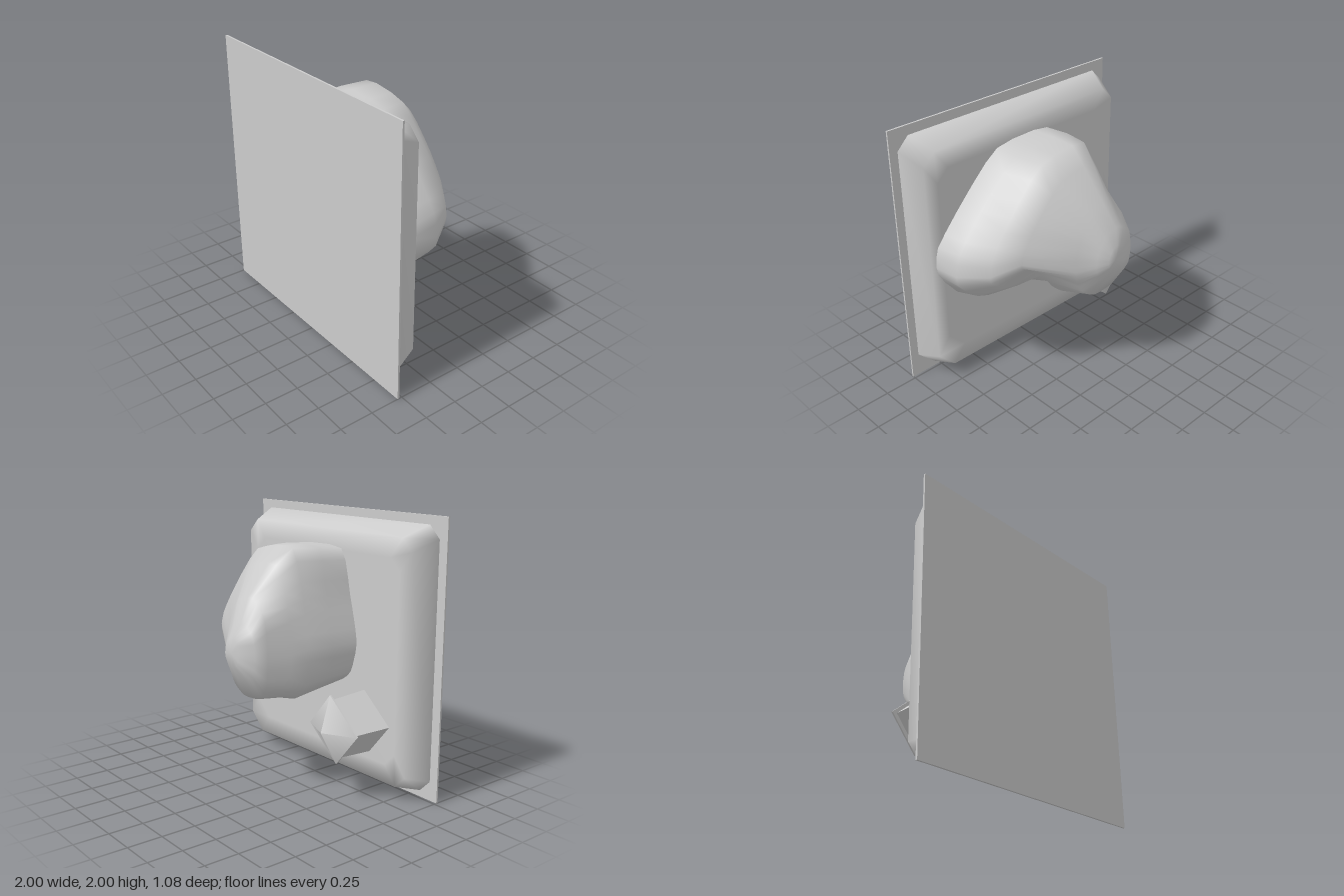
import * as THREE from 'three';

const grey = () => new THREE.MeshStandardMaterial({ color: 0xcccccc, side: THREE.DoubleSide });

function add(parent, name, geometry, x = 0, y = 0, z = 0) {
  const mesh = new THREE.Mesh(geometry, grey());
  mesh.name = name;
  mesh.position.set(x, y, z);
  parent.add(mesh);
  return mesh;
}

// Skin over counter-clockwise rings of [x, y] stacked towards -z, closed at the last ring
function loft(rings, depths) {
  const n = rings[0].length, pos = [], idx = [];
  rings.forEach((ring, i) => ring.forEach(([x, y]) => pos.push(x, y, depths[i])));
  for (let i = 0; i < rings.length - 1; i++) {
    for (let j = 0; j < n; j++) {
      const a = i * n + j, b = i * n + (j + 1) % n;
      idx.push(a, a + n, b, b, a + n, b + n);
    }
  }
  const last = rings[rings.length - 1], start = (rings.length - 1) * n;
  const mid = last.reduce((s, p) => [s[0] + p[0] / n, s[1] + p[1] / n], [0, 0]);
  pos.push(mid[0], mid[1], depths[rings.length - 1]);
  for (let j = 0; j < n; j++) idx.push(rings.length * n, start + (j + 1) % n, start + j);
  const g = new THREE.BufferGeometry();
  g.setAttribute('position', new THREE.Float32BufferAttribute(pos, 3));
  g.setIndex(idx);
  g.computeVertexNormals();
  return g;
}

// Rectangle with cut corners, as a ring; the lower left corner is cut deeper
function cutRect(x0, x1, y0, y1, c) {
  return [[x1, y0 + 1.5 * c], [x1, y1 - c], [x1 - c, y1], [x0 + c, y1],
    [x0, y1 - c], [x0, y0 + c], [x0 + c, y0], [x1 - 1.5 * c, y0]];
}

// Closed smooth ring through a few points
function smoothRing(points, samples = 3) {
  const curve = new THREE.CatmullRomCurve3(
    points.map(([x, y]) => new THREE.Vector3(x, y, 0)), true, 'catmullrom', 0.3);
  const total = points.length * samples;
  return Array.from({ length: total }, (_, i) => {
    const p = curve.getPoint(i / total);
    return [p.x, p.y];
  });
}

const shrink = (ring, cx, cy, kx, ky) =>
  ring.map(([x, y]) => [cx + (x - cx) * kx, cy + (y - cy) * ky]);

// Four-sided frustum with slightly oblong plan
const frustum = (top, bottom, height) =>
  new THREE.CylinderGeometry(top, bottom, height, 4).rotateY(Math.PI / 4).scale(1.06, 1, 0.94);

export function createModel() {
  const model = new THREE.Group();

  // Thin square backing sheet
  add(model, 'backingPlate', new THREE.BoxGeometry(2, 2, 0.014), 0, 1, 0.528);

  // Bevelled ground slab
  add(model, 'groundSlab', loft([
    cutRect(-0.82, 0.93, 0.07, 1.9, 0.08),
    cutRect(-0.82, 0.93, 0.07, 1.9, 0.08),
    cutRect(-0.95, 0.95, 0.06, 1.94, 0.09),
    cutRect(-0.88, 0.89, 0.11, 1.86, 0.09),
    cutRect(-0.78, 0.79, 0.25, 1.72, 0.09),
  ], [0.527, 0.51, 0.5, 0.315, 0.31]));

  // Hill: horseshoe footprint with an arm on the left and an overhanging mass,
  // narrowing to a leaning peak
  const sections = [
    [[0.84, 0.93], [0.83, 1.15], [0.59, 1.43], [0.27, 1.72], [-0.2, 1.73], [-0.3, 1.42],
      [-0.38, 1.08], [-0.32, 0.85], [-0.2, 0.77], [-0.06, 0.9], [0.14, 1.15], [0.61, 0.68]],
    [[0.84, 0.95], [0.81, 1.18], [0.61, 1.44], [0.29, 1.73], [-0.2, 1.75], [-0.29, 1.42],
      [-0.37, 1.08], [-0.32, 0.84], [-0.2, 0.73], [0.0, 0.83], [0.17, 1.1], [0.58, 0.75]],
    [[0.71, 1], [0.69, 1.18], [0.52, 1.42], [0.24, 1.72], [-0.16, 1.76], [-0.28, 1.42],
      [-0.34, 1.08], [-0.31, 0.82], [-0.18, 0.69], [0.1, 0.7], [0.24, 0.96], [0.48, 0.88]],
    [[0.54, 1.1], [0.52, 1.2], [0.4, 1.38], [0.18, 1.61], [-0.13, 1.65], [-0.26, 1.38],
      [-0.3, 1.05], [-0.28, 0.82], [-0.17, 0.72], [0.12, 0.72], [0.27, 0.84], [0.39, 1.02]],
    [[0.21, 1], [0.2, 1.13], [0.16, 1.26], [0.07, 1.4], [-0.1, 1.44], [-0.24, 1.3],
      [-0.27, 1.03], [-0.25, 0.84], [-0.16, 0.74], [0.01, 0.73], [0.12, 0.79], [0.19, 0.9]],
  ].map((s) => smoothRing(s));
  const crown = sections[4];
  add(model, 'hill', loft(
    [...sections, shrink(crown, -0.18, 1.07, 0.72, 0.55), shrink(crown, -0.05, 1.07, 0.32, 0.27)],
    [0.33, 0.1, -0.1, -0.22, -0.4, -0.49, -0.54]));

  // Curled rock inside the hollow, tilted outwards
  const curl = Array.from({ length: 30 }, (_, i) => {
    const a = i * 0.5, r = 0.02 + 0.0032 * i;
    return new THREE.Vector3(Math.cos(a) * r, 0.02 * Math.sin(i * 1.7), Math.sin(a) * r * 1.1);
  });
  add(model, 'curledRock', new THREE.TubeGeometry(
    new THREE.CatmullRomCurve3(curl), 90, 0.018, 6), 0.12, 1.0, 0.22).rotation.x = 0.8;

  // House standing on the slab, upright towards -z and turned cornerwise
  const house = new THREE.Group();
  house.name = 'house';
  house.rotation.set(-Math.PI / 2, -0.7, 0);
  house.position.set(-0.5, 0.525, 0.31);
  model.add(house);
  add(house, 'walls', frustum(0.208, 0.225, 0.32), 0, 0.15, 0).material.flatShading = true;
  add(house, 'eaves', frustum(0.245, 0.245, 0.012), 0, 0.316, 0).material.flatShading = true;
  add(house, 'roof', frustum(0, 0.245, 0.112), 0, 0.378, 0);
  add(house, 'door', new THREE.BoxGeometry(0.1, 0.21, 0.02), 0.07, 0.105, -0.143);

  return model;
}
